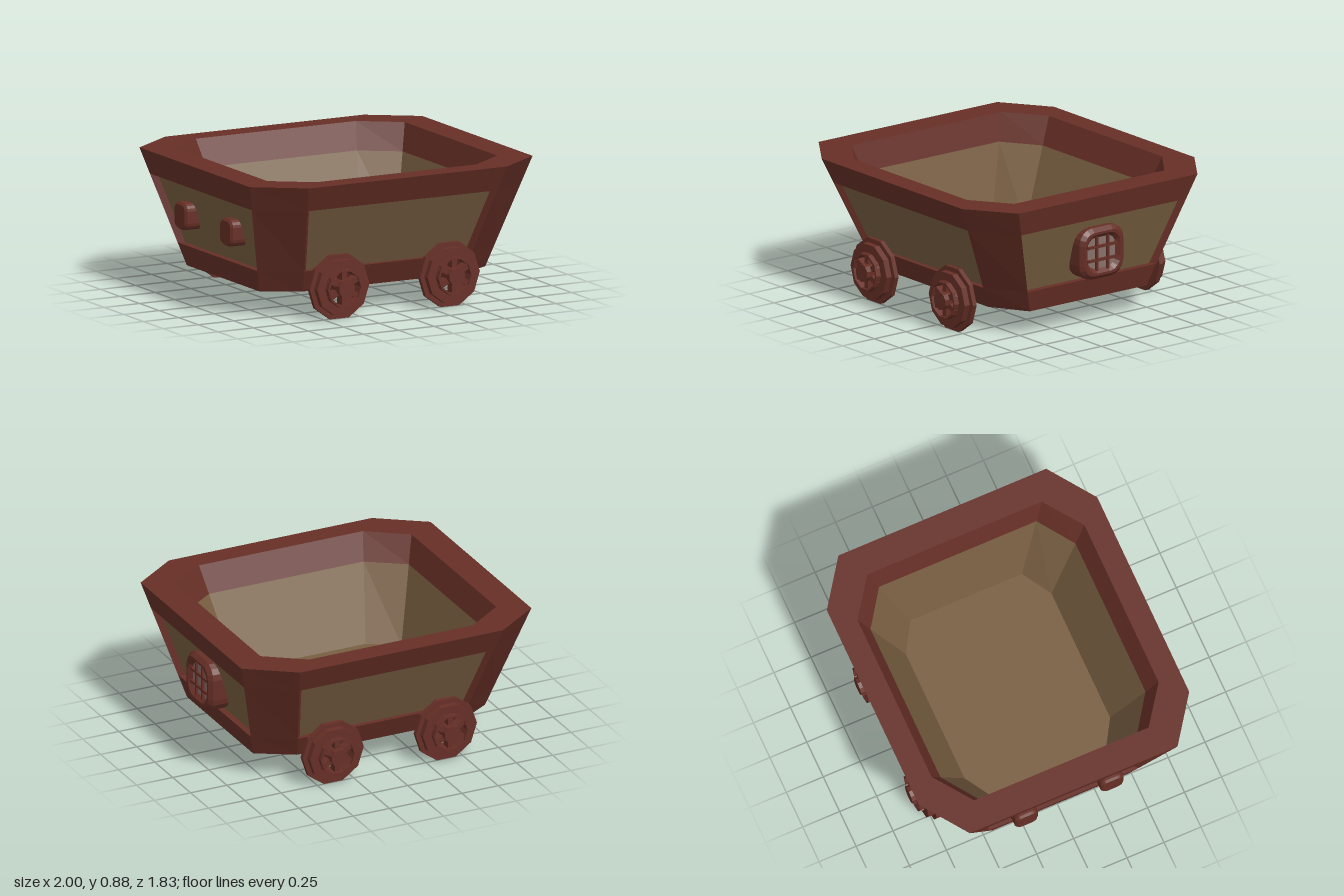
import * as THREE from 'three';

const mat = (name, color, extra = {}) => Object.assign(new THREE.MeshStandardMaterial({ color, flatShading: true, ...extra }), { name });

// Eight-cornered cross-section of the tub at height y; t = 0 outer skin, t = 1 inner skin
const Y0 = 0.16, Y1 = 0.88;
function ring(y, t) {
  const k = (y - Y0) / (Y1 - Y0), mix = (a, b, d) => a + (b - a) * k - d * t;
  const x = mix(0.8, 1, 0.187), z = mix(0.6, 0.915, 0.147);
  const cx = mix(0.565, 0.7, 0.135), cz = mix(0.46, 0.703, 0.113);
  return [[x, cz], [cx, z], [-cx, z], [-x, cz], [-x, -cz], [-cx, -z], [cx, -z], [x, -cz]].map(([px, pz]) => [px, y, pz]);
}
const centre = y => Array(8).fill([0, y, 0]);

// Collects quads into one geometry
class Faces {
  pos = [];
  quad(a, b, c, d) { this.pos.push(...a, ...b, ...c, ...a, ...c, ...d); }
  strip(A, B, use = () => true) {
    for (let i = 0; i < 8; i++) {
      const j = (i + 1) % 8;
      if (use(i)) this.quad(A[i], B[i], B[j], A[j]);
    }
  }
  mesh(name, material) {
    const g = new THREE.BufferGeometry();
    g.setAttribute('position', new THREE.Float32BufferAttribute(this.pos, 3));
    g.computeVertexNormals();
    const m = new THREE.Mesh(g, material);
    m.name = name;
    return m;
  }
}

function addMesh(parent, name, geometry, material, x = 0, y = 0, z = 0) {
  const m = new THREE.Mesh(geometry, material);
  m.name = name;
  m.position.set(x, y, z);
  parent.add(m);
  return m;
}

function polygon(r, n) {
  return Array.from({ length: n }, (_, i) => new THREE.Vector2(r * Math.cos(i * 2 * Math.PI / n), r * Math.sin(i * 2 * Math.PI / n)));
}

function roundedRect(w, h, r, target = new THREE.Shape()) {
  target.moveTo(w, -h + r);
  target.lineTo(w, h - r);
  target.absarc(w - r, h - r, r, 0, Math.PI / 2);
  target.absarc(-w + r, h - r, r, Math.PI / 2, Math.PI);
  target.absarc(-w + r, -h + r, r, Math.PI, Math.PI * 1.5);
  target.absarc(w - r, -h + r, r, Math.PI * 1.5, Math.PI * 2);
  return target;
}

// Tub: frame of rails and corner posts around recessed panels
function makeTub(red, wood) {
  const tub = new THREE.Group();
  tub.name = 'tub';
  const lo = 0.3, hi = 0.72, rec = 0.22, band = 0.71, floor = 0.25;
  const isPost = i => i % 2 === 0, isPanel = i => i % 2 === 1;
  const frame = new Faces(), boards = new Faces();
  const lo0 = ring(lo, 0), hi0 = ring(hi, 0), loR = ring(lo, rec), hiR = ring(hi, rec);

  frame.strip(ring(Y0, 0.12), ring(Y0, 0));
  frame.strip(ring(Y0, 0), lo0);
  frame.strip(lo0, hi0, isPost);
  frame.strip(lo0, loR, isPanel);
  frame.strip(hiR, hi0, isPanel);
  frame.strip(hi0, ring(Y1, 0));
  frame.strip(ring(Y1, 0), ring(Y1, 1));
  frame.strip(ring(Y1, 1), ring(band, 1));
  for (let i = 1; i < 8; i += 2) {
    const j = (i + 1) % 8;
    frame.quad(lo0[i], hi0[i], hiR[i], loR[i]);
    frame.quad(lo0[j], loR[j], hiR[j], hi0[j]);
  }
  boards.strip(loR, hiR, isPanel);
  boards.strip(ring(band, 1), ring(floor, 1));
  boards.strip(ring(floor, 1), centre(floor));
  boards.strip(centre(Y0), ring(Y0, 0.12));
  tub.add(frame.mesh('tubFrame', red), boards.mesh('tubPanels', wood));
  return tub;
}

// Stepped spoked wheel facing +z, z measured from the cart centre
function makeWheel(red) {
  const wheel = new THREE.Group();
  wheel.name = 'wheel';
  const tiers = [[0.211, 0.72, 0.75], [0.18, 0.75, 0.79], [0.123, 0.79, 0.825]];
  tiers.forEach(([r, z0, z1]) => {
    const shape = new THREE.Shape(polygon(r, 10));
    shape.holes.push(new THREE.Path(polygon(0.11, 10).reverse()));
    addMesh(wheel, 'wheelRing', new THREE.ExtrudeGeometry(shape, { depth: z1 - z0, bevelEnabled: false }), red, 0, 0, z0);
  });
  addMesh(wheel, 'hub', new THREE.CylinderGeometry(0.058, 0.058, 0.125, 10).rotateX(Math.PI / 2), red, 0, 0, 0.7825);
  for (let i = 0; i < 6; i++) {
    const spoke = new THREE.BoxGeometry(0.08, 0.036, 0.06).translate(0.08, 0, 0);
    addMesh(wheel, 'spoke', spoke, red, 0, 0, 0.78).rotation.z = Math.PI / 6 + i * Math.PI / 3;
  }
  return wheel;
}

// Lamp facing +z: bevelled housing around a flat lens, front at z = depth
function makeLamp(name, w, h, rim, depth, bevel, red, glass) {
  const lamp = new THREE.Group();
  lamp.name = name;
  const r = Math.min(w, h) * 0.6;
  const shape = roundedRect(w, h, r);
  shape.holes.push(roundedRect(w - rim, h - rim, r - rim * 0.6, new THREE.Path()));
  const housing = new THREE.ExtrudeGeometry(shape, {
    depth: depth - bevel, curveSegments: 2, bevelSegments: 1, bevelThickness: bevel, bevelSize: bevel, bevelOffset: -bevel,
  });
  addMesh(lamp, 'lampHousing', housing, red);
  const pane = new THREE.ShapeGeometry(roundedRect(w - rim, h - rim, r - rim * 0.6), 2);
  addMesh(lamp, 'lens', pane, glass, 0, 0, depth - bevel);
  return lamp;
}

export function createModel() {
  const model = new THREE.Group();
  model.name = 'mineCart';
  const red = mat('rustRed', 0x662f26);
  const wood = mat('wood', 0x785e41);
  const glass = mat('lampGlass', 0x87706b);

  model.add(makeTub(red, wood));

  // Axles and wheels
  for (const x of [-0.39, 0.39]) {
    addMesh(model, 'axle', new THREE.CylinderGeometry(0.025, 0.025, 1.46, 8).rotateX(Math.PI / 2), red, x, 0.22, 0);
    for (const turn of [0, Math.PI]) {
      const wheel = makeWheel(red);
      wheel.position.set(x, 0.201, 0);
      wheel.rotation.y = turn;
      model.add(wheel);
    }
  }

  // Large barred lamp on the left side
  const big = makeLamp('barredLamp', 0.173, 0.165, 0.065, 0.135, 0.025, red, glass);
  for (const s of [-0.043, 0.043]) {
    addMesh(big, 'uprightBar', new THREE.BoxGeometry(0.016, 0.22, 0.016), red, s, 0, 0.119);
    addMesh(big, 'crossBar', new THREE.BoxGeometry(0.23, 0.016, 0.016), red, 0, s, 0.119);
  }
  big.position.set(0.822, 0.49, 0);
  big.rotation.y = Math.PI / 2;
  model.add(big);

  // Pair of small lamps on the right side
  for (const z of [-0.29, 0.29]) {
    const small = makeLamp('smallLamp', 0.078, 0.085, 0.026, 0.115, 0.014, red, glass);
    small.position.set(-0.83, 0.515, z);
    small.rotation.y = -Math.PI / 2;
    model.add(small);
  }
  return model;
}
